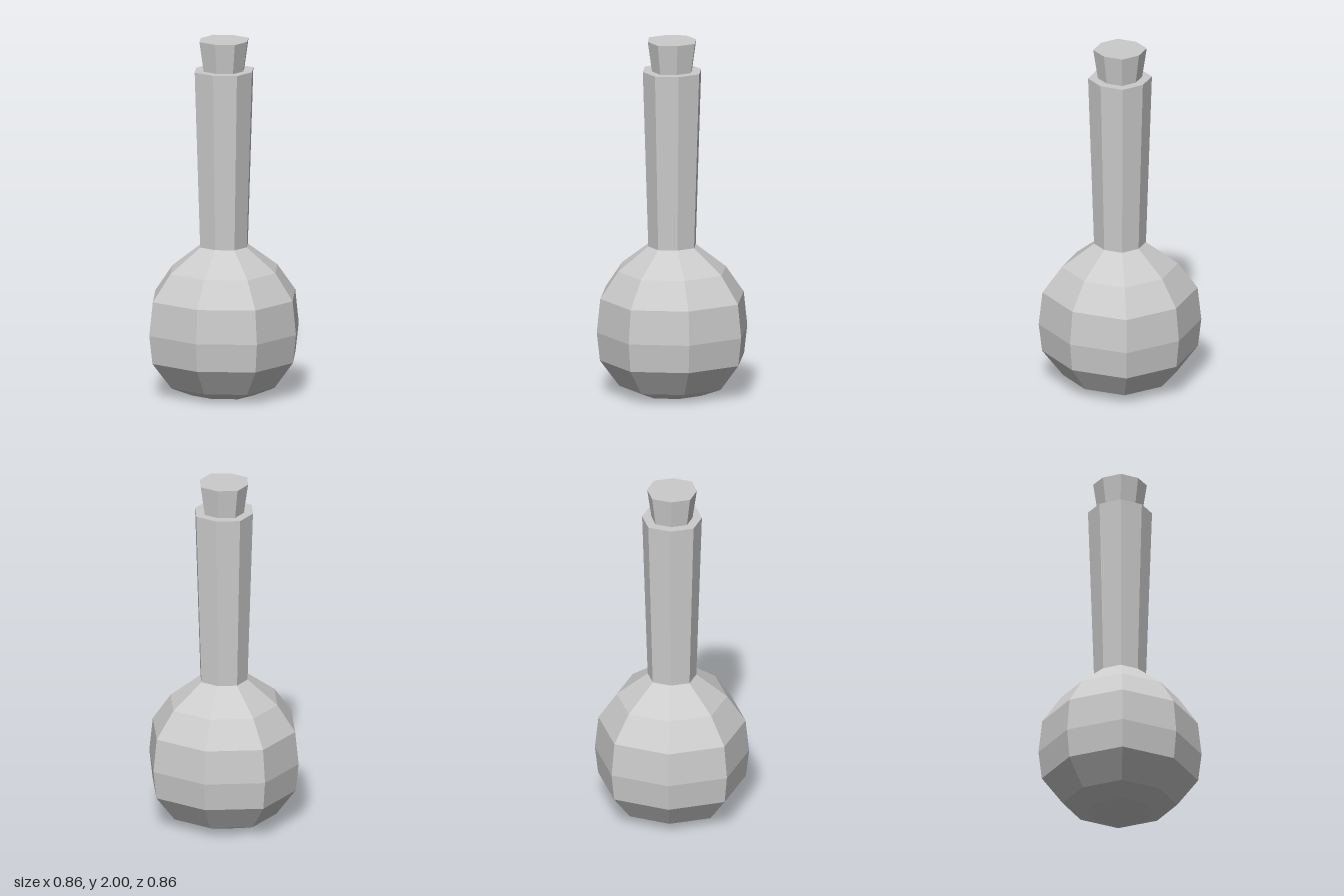
import * as THREE from 'three';

const SIDES = 8;

// Eight-sided turned part; corners between the axes sit slightly further out
function turned(name, profile, stretch, material) {
  const points = profile.map(([r, y]) => new THREE.Vector2(r, y));
  const geometry = new THREE.LatheGeometry(points, SIDES);
  const pos = geometry.attributes.position;
  for (let i = 0; i < pos.count; i++) {
    const segment = Math.floor(i / points.length);
    if (segment % 2 === 1) {
      pos.setX(i, pos.getX(i) * stretch);
      pos.setZ(i, pos.getZ(i) * stretch);
    }
  }
  geometry.computeVertexNormals();
  const mesh = new THREE.Mesh(geometry, material);
  mesh.name = name;
  return mesh;
}

export function createModel() {
  const group = new THREE.Group();
  group.name = 'flask';
  const material = new THREE.MeshStandardMaterial({ color: 0xcccccc, flatShading: true });

  // Round belly with a flat base
  group.add(turned('belly', [
    [0, 0], [0.18, 0], [0.3, 0.05], [0.41, 0.2], [0.428, 0.36],
    [0.408, 0.55], [0.306, 0.7], [0.135, 0.835],
  ], 1.057, material));

  // Neck widening upward, closed by a flat lip around the stopper
  group.add(turned('neck', [[0.135, 0.835], [0.166, 1.83], [0.11, 1.83]], 1.07, material));

  // Tapered stopper
  group.add(turned('stopper', [[0.114, 1.83], [0.138, 2], [0, 2]], 1.08, material));

  return group;
}
